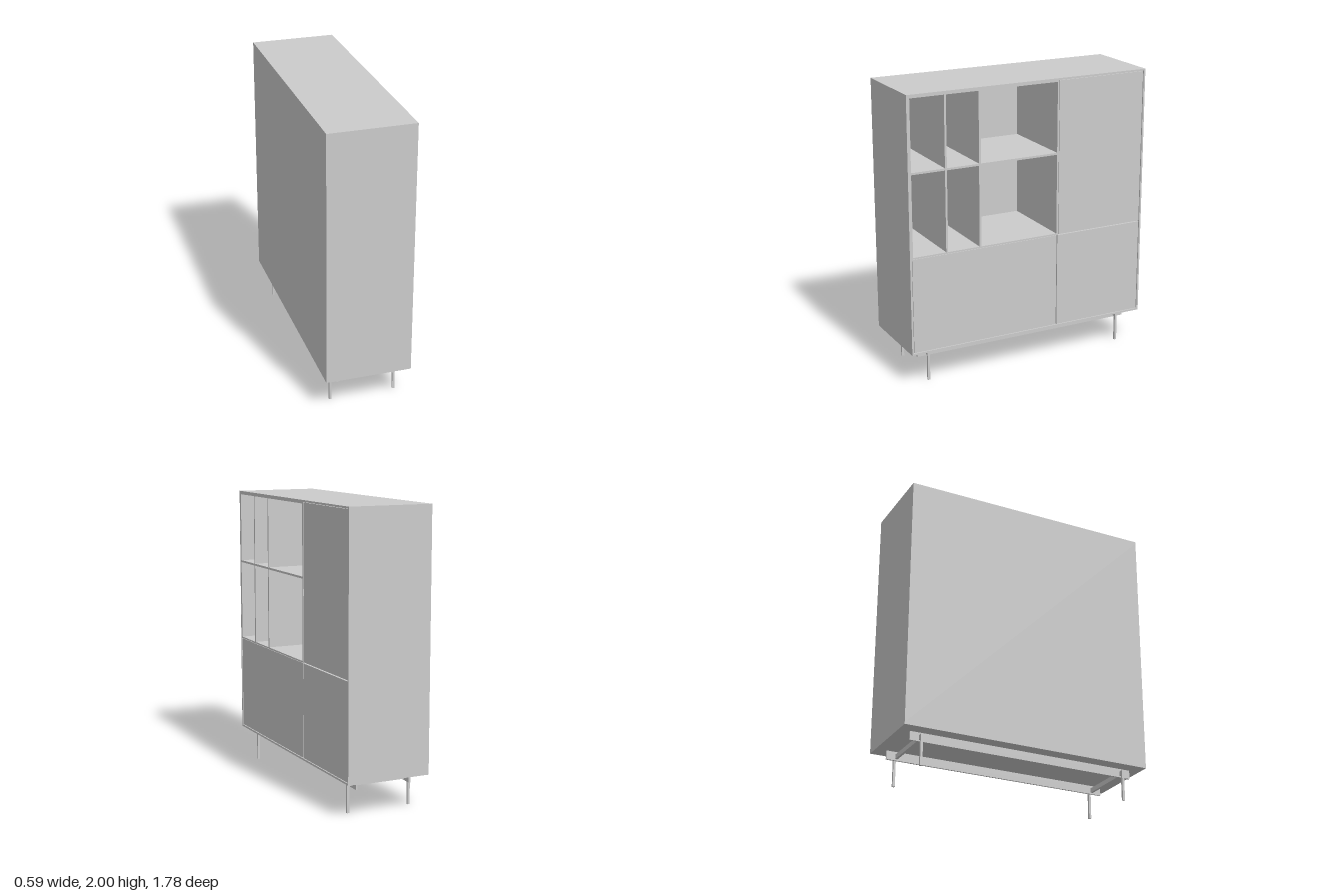
import * as THREE from 'three';

const X = 0.295, Z = 0.888, BOTTOM = 0.23, TOP = 2, WALL = 0.013;
const material = new THREE.MeshStandardMaterial({ color: 0xcccccc, flatShading: true });

// Box given by its lower and upper limits on each axis
function slab(parent, name, [x0, x1], [y0, y1], [z0, z1]) {
  const mesh = new THREE.Mesh(new THREE.BoxGeometry(x1 - x0, y1 - y0, z1 - z0), material);
  mesh.position.set((x0 + x1) / 2, (y0 + y1) / 2, (z0 + z1) / 2);
  mesh.name = name;
  parent.add(mesh);
}

function group(parent, name) {
  const g = new THREE.Group();
  g.name = name;
  parent.add(g);
  return g;
}

export function createModel() {
  const model = new THREE.Group();
  model.name = 'cabinet';

  // Outer case, open towards +x
  const shell = group(model, 'case');
  slab(shell, 'topPanel', [-X, X], [TOP - WALL, TOP], [-Z, Z]);
  slab(shell, 'bottomPanel', [-X, X], [BOTTOM, BOTTOM + WALL], [-Z, Z]);
  slab(shell, 'backPanel', [-X, -X + WALL], [BOTTOM + WALL, TOP - WALL], [-Z, Z]);
  for (const [z0, z1] of [[-Z, -Z + WALL], [Z - WALL, Z]])
    slab(shell, 'sidePanel', [-X + WALL, X], [BOTTOM + WALL, TOP - WALL], [z0, z1]);

  // Open shelf insert with its own lining, one shelf and two dividers per row
  const shelves = group(model, 'shelves');
  const depth = [-X + WALL, X - 0.001];
  const zIn = [-0.202, 0.865], low = 0.918, high = 1.976;
  slab(shelves, 'shelfFloor', depth, [low - 0.011, low], [-0.215, Z - WALL]);
  slab(shelves, 'shelfCeiling', depth, [high, TOP - WALL], [-0.215, Z - WALL]);
  slab(shelves, 'shelfSide', depth, [low, high], [zIn[1], Z - WALL]);
  slab(shelves, 'shelfSide', depth, [low, high], [-0.215, zIn[0]]);
  slab(shelves, 'middleShelf', depth, [1.477, 1.491], zIn);
  for (const z of [0.62, 0.375])
    for (const rows of [[low, 1.477], [1.491, high]])
      slab(shelves, 'divider', [depth[0], X - 0.003], rows, [z - 0.007, z + 0.007]);

  // Inner partitions behind the doors
  slab(model, 'doorPartition', [-X + WALL, X - 0.02], [BOTTOM + WALL, low - 0.011], [-0.215, -0.202]);
  slab(model, 'doorShelf', [-X + WALL, X - 0.02], [0.9, 0.912], [-Z + WALL, -0.215]);

  // Inset doors, separated by narrow gaps
  const doors = group(model, 'doors');
  const face = [X - 0.019, X - 0.003];
  const doorEnd = -Z + WALL + 0.004;
  slab(doors, 'tallDoor', face, [0.912, TOP - WALL - 0.003], [doorEnd, -0.219]);
  slab(doors, 'wideLowerDoor', face, [BOTTOM + WALL + 0.003, 0.904], [-0.206, Z - WALL - 0.004]);
  slab(doors, 'narrowLowerDoor', face, [BOTTOM + WALL + 0.003, 0.904], [doorEnd, -0.212]);

  // Base: two long rails, two crossbars and four slim legs
  const base = group(model, 'base');
  for (const s of [-1, 1]) {
    const rx = s * 0.195, z = s * 0.742;
    slab(base, 'rail', [rx - 0.006, rx + 0.006], [0.17, BOTTOM], [-0.812, 0.812]);
    slab(base, 'crossbar', [-0.217, 0.217], [0.18, 0.212], [z - 0.008, z + 0.008]);
    for (const lx of [-0.225, 0.225])
      slab(base, 'leg', [lx - 0.008, lx + 0.008], [0, 0.212], [z - 0.008, z + 0.008]);
  }
  return model;
}
